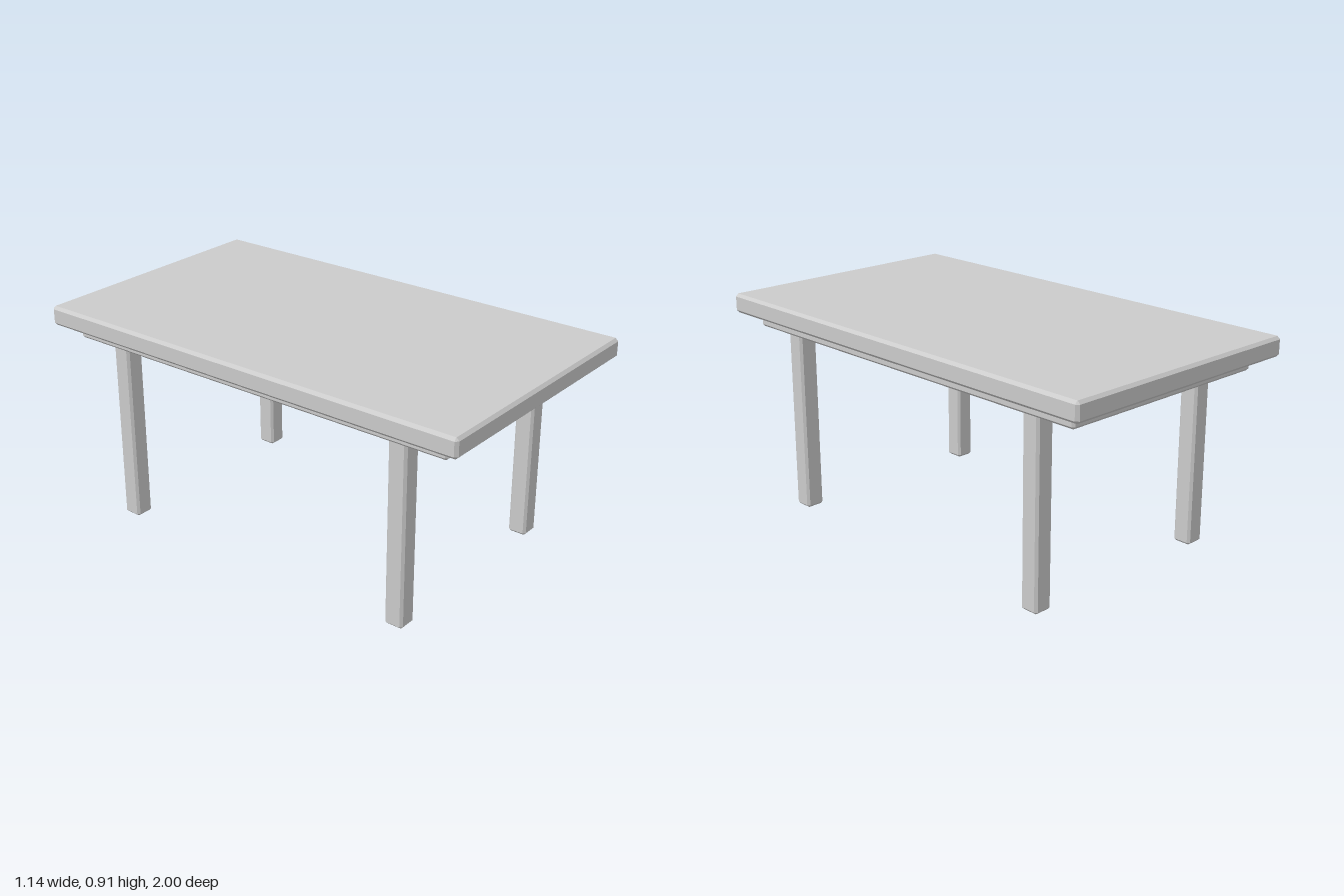
import * as THREE from 'three';

const material = new THREE.MeshStandardMaterial({ color: 0xcccccc, flatShading: true });

// Rectangle outline with cut corners, anticlockwise from above
function ring([y, hx, hz, cut]) {
  const ix = hx - cut, iz = hz - cut;
  return [[hx, iz], [hx, -iz], [ix, -hz], [-ix, -hz], [-hx, -iz], [-hx, iz], [-ix, hz], [ix, hz]]
    .map(([x, z]) => [x, y, z]);
}

// Closed solid through sections [y, half width, half depth, corner cut], bottom to top
function sectionSolid(sections) {
  const rings = sections.map(ring);
  const positions = [];
  const tri = (a, b, c) => positions.push(...a, ...b, ...c);
  for (let r = 0; r < rings.length - 1; r++) {
    for (let i = 0; i < 8; i++) {
      const j = (i + 1) % 8;
      tri(rings[r][i], rings[r][j], rings[r + 1][j]);
      tri(rings[r][i], rings[r + 1][j], rings[r + 1][i]);
    }
  }
  const bottom = rings[0], top = rings[rings.length - 1];
  for (let i = 1; i < 7; i++) {
    tri(bottom[0], bottom[i + 1], bottom[i]);
    tri(top[0], top[i], top[i + 1]);
  }
  const geometry = new THREE.BufferGeometry();
  geometry.setAttribute('position', new THREE.Float32BufferAttribute(positions, 3));
  geometry.computeVertexNormals();
  return geometry;
}

// Box with every edge chamfered by c
function chamferBox(y0, y1, hx, hz, c) {
  return sectionSolid([
    [y0, hx - c, hz - c, 0.001],
    [y0 + c, hx, hz, c],
    [y1 - c, hx, hz, c],
    [y1, hx - c, hz - c, 0.001],
  ]);
}

export function createModel() {
  const table = new THREE.Group();
  table.name = 'table';
  const add = (name, geometry) => {
    const mesh = new THREE.Mesh(geometry, material);
    mesh.name = name;
    table.add(mesh);
    return mesh;
  };

  add('tableTop', chamferBox(0.831, 0.914, 0.571, 1, 0.012));

  // Solid underframe, flaring out where it meets the top
  add('underframe', sectionSolid([
    [0.773, 0.487, 0.905, 0.001],
    [0.783, 0.497, 0.915, 0.01],
    [0.819, 0.497, 0.915, 0.01],
    [0.835, 0.513, 0.935, 0.012],
  ]));

  // Four square legs
  const leg = chamferBox(0, 0.79, 0.041, 0.041, 0.01);
  for (const [side, x] of [['Left', 0.444], ['Right', -0.444]]) {
    for (const [end, z] of [['front', 0.695], ['back', -0.695]]) {
      add(`${end}${side}Leg`, leg).position.set(x, 0, z);
    }
  }
  return table;
}
